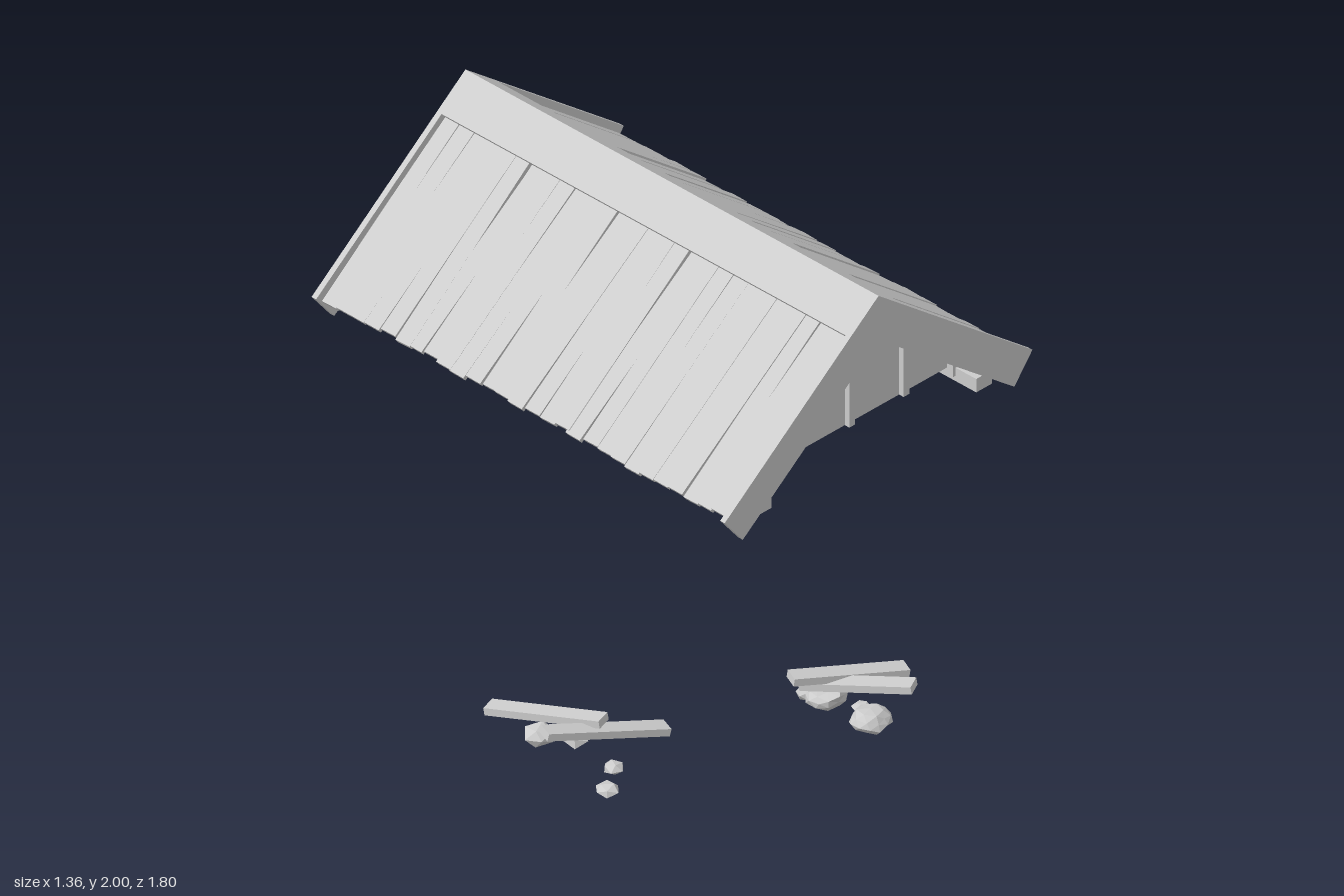
import * as THREE from 'three';

export function createModel() {
  const model = new THREE.Group();
  const grey = new THREE.MeshStandardMaterial({ color: 0xcccccc });
  grey.name = 'weathered grey';
  grey.flatShading = true;

  let seed = 7;
  const rand = () => (seed = (seed * 16807) % 2147483647) / 2147483647;
  const vary = (a) => (rand() * 2 - 1) * a;

  const add = (name, geometry, parent = model) => {
    const mesh = new THREE.Mesh(geometry, grey);
    mesh.name = name;
    parent.add(mesh);
    return mesh;
  };

  // Roof pitch: s runs down the slope from the ridge, n is the offset normal to it
  const RIDGE = 2, ANGLE = Math.atan2(0.525, 0.68);
  const C = Math.cos(ANGLE), S = Math.sin(ANGLE);
  const slopeBox = (name, side, s0, s1, n0, n1, z0, z1, parent) => {
    const mesh = add(name, new THREE.BoxGeometry(s1 - s0, n1 - n0, z1 - z0), parent);
    const s = (s0 + s1) / 2, n = (n0 + n1) / 2;
    mesh.position.set(side * (s * C + n * S), RIDGE - s * S + n * C, (z0 + z1) / 2);
    mesh.rotation.z = -side * ANGLE;
    return mesh;
  };
  const extrude = (points, depth) => new THREE.ExtrudeGeometry(
    new THREE.Shape(points.map(([x, y]) => new THREE.Vector2(x, y))),
    { depth, bevelEnabled: false });

  // Roof slopes: inner deck, uneven planks, ridge board, eave beams
  const PLANKS = 28, HALF = 0.88, pitch = (2 * HALF) / PLANKS;
  for (const side of [-1, 1]) {
    const slope = new THREE.Group();
    slope.name = side > 0 ? 'leftRoofSlope' : 'rightRoofSlope';
    model.add(slope);
    slopeBox('roofDeck', side, 0.035, 0.815, -0.06, -0.036, -HALF, HALF, slope);
    slopeBox('ridgeBoard', side, 0, 0.159, -0.018, 0, -HALF, HALF, slope);
    for (let i = 0; i < PLANKS; i++) {
      const z = -HALF + i * pitch;
      const lift = vary(0.003);
      const plank = slopeBox('roofPlank', side, 0.1, 0.843 + vary(0.009),
        -0.039 + lift, -0.022 + lift, z, z + pitch, slope);
      plank.rotation.x = vary(0.04);
    }
    const beam = add('eaveBeam', new THREE.BoxGeometry(0.07, 0.05, 2 * HALF), slope);
    beam.position.set(side * 0.487, 1.44, 0);
    const plate = add('wallPlate', new THREE.BoxGeometry(0.025, 0.1, 1.58), slope);
    plate.position.set(side * 0.452, 1.485, 0);
  }

  // Gable ends: chevron bargeboard, recessed wall and battens
  const barge = extrude([[0, 2], [-0.68, 1.475], [-0.6, 1.375], [0, 1.835],
    [0.6, 1.375], [0.68, 1.475]], 0.02);
  const wall = extrude([[-0.46, 1.46], [0.46, 1.46], [0.46, 1.57], [0, 1.925], [-0.46, 1.57]], 0.03);
  for (const end of [-1, 1]) {
    const gable = new THREE.Group();
    gable.name = end > 0 ? 'frontGable' : 'backGable';
    gable.rotation.y = end > 0 ? 0 : Math.PI;
    model.add(gable);
    add('bargeboard', barge, gable).position.z = 0.88;
    add('gableWall', wall, gable).position.z = 0.735;
    for (const x of [-0.24, 0, 0.24]) {
      const top = 1.915 - Math.abs(x) * 0.772;
      const batten = add('gableBatten', new THREE.BoxGeometry(0.025, top - 1.46, 0.02), gable);
      batten.position.set(x, (top + 1.46) / 2, 0.775);
    }
  }

  // Fallen planks: centre, direction, length
  const fallen = [
    [[0.41, 0.145, 0.365], [0.36, -0.06, 0.16], 0.39],
    [[0.385, 0.147, 0.43], [0.17, 0.06, 0.33], 0.37],
    [[-0.35, 0.148, 0.055], [0.4, -0.1, 0.15], 0.43],
    [[-0.415, 0.15, -0.14], [0.12, 0.075, 0.39], 0.41],
  ];
  for (const [p, d, length] of fallen) {
    const plank = add('fallenPlank', new THREE.BoxGeometry(0.06, 0.026, length));
    plank.position.set(...p);
    plank.lookAt(p[0] + d[0], p[1] + d[1], p[2] + d[2]);
  }

  // Rubble: x, z, radius, height
  const rubble = [
    [0.39, 0.48, 0.07, 0.08], [0.44, 0.395, 0.034, 0.05],
    [0.39, 0.29, 0.075, 0.085], [0.37, 0.215, 0.03, 0.05],
    [-0.44, 0.15, 0.04, 0.045], [-0.34, 0.08, 0.036, 0.045],
    [-0.31, -0.12, 0.05, 0.06], [-0.385, -0.2, 0.055, 0.07],
  ];
  for (const [x, z, r, h] of rubble) {
    const geometry = new THREE.IcosahedronGeometry(1, r > 0.06 ? 1 : 0);
    const pos = geometry.attributes.position, scales = new Map();
    const v = new THREE.Vector3();
    // Shared corners get the same random scale so the stone stays closed
    for (let i = 0; i < pos.count; i++) {
      v.fromBufferAttribute(pos, i);
      const key = v.toArray().map((c) => Math.round(c * 100)).join();
      if (!scales.has(key)) scales.set(key, 0.95 + vary(0.13));
      v.multiplyScalar(scales.get(key));
      pos.setXYZ(i, v.x * r, v.y * h / 2, v.z * r);
    }
    geometry.computeVertexNormals();
    geometry.computeBoundingBox();
    const stone = add('stone', geometry);
    stone.position.set(x, -geometry.boundingBox.min.y, z);
    stone.rotation.y = rand() * 6;
  }

  return model;
}
